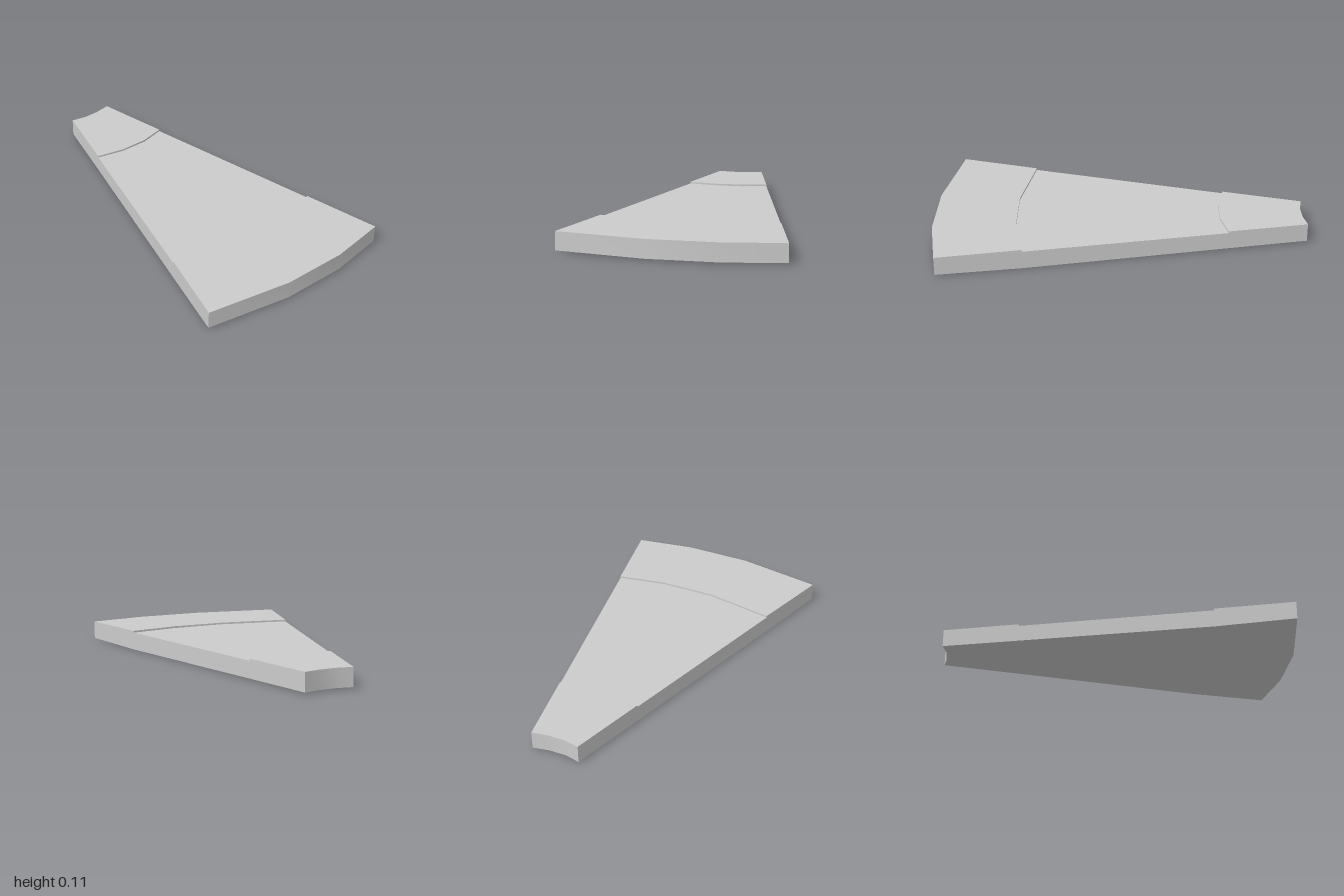
import * as THREE from 'three';
import { toCreasedNormals } from 'three/addons/utils/BufferGeometryUtils.js';

// Arcs across the wedge as [x, z], from the straight back edge to the slanted front edge,
// each with the height of the underside there.
const innerRim = { y: 0.008, pts: [[-0.953, -0.566], [-0.953, -0.475], [-0.968, -0.385], [-1, -0.306]] };
const innerSeam = { y: 0.006, pts: [[-0.524, -0.566], [-0.517, -0.42], [-0.547, -0.262], [-0.61, -0.114]] };
const outerSeam = { y: 0, pts: [[0.558, -0.566], [0.555, -0.29], [0.5, 0.005], [0.36, 0.367]] };
const outerRim = { y: 0.008, pts: [[1, -0.566], [0.99, -0.24], [0.92, 0.12], [0.752, 0.566]] };

const material = new THREE.MeshStandardMaterial({ color: 0xcccccc });

// Slab between two arcs: flat top, underside sloping from one arc to the other.
function slab(name, a, b, top) {
  const outline = [...a.pts, ...[...b.pts].reverse()];
  const shape = new THREE.Shape(outline.map(([x, z]) => new THREE.Vector2(x, -z)));
  const geometry = new THREE.ExtrudeGeometry(shape, { depth: top, bevelEnabled: false });
  geometry.rotateX(-Math.PI / 2);

  // Lift the lower corners to the underside height of their arc
  const p = geometry.attributes.position;
  const onArc = (arc, x, z) => arc.pts.some(([ax, az]) => Math.hypot(ax - x, az - z) < 1e-4);
  for (let i = 0; i < p.count; i++) {
    if (p.getY(i) < top / 2) p.setY(i, onArc(a, p.getX(i), p.getZ(i)) ? a.y : b.y);
  }
  const mesh = new THREE.Mesh(toCreasedNormals(geometry, Math.PI / 6), material);
  mesh.name = name;
  return mesh;
}

export function createModel() {
  const group = new THREE.Group();
  group.name = 'curvedPavementWedge';
  group.add(
    slab('innerKerb', innerRim, innerSeam, 0.106),
    slab('roadway', innerSeam, outerSeam, 0.096),
    slab('outerKerb', outerSeam, outerRim, 0.106),
  );
  return group;
}
